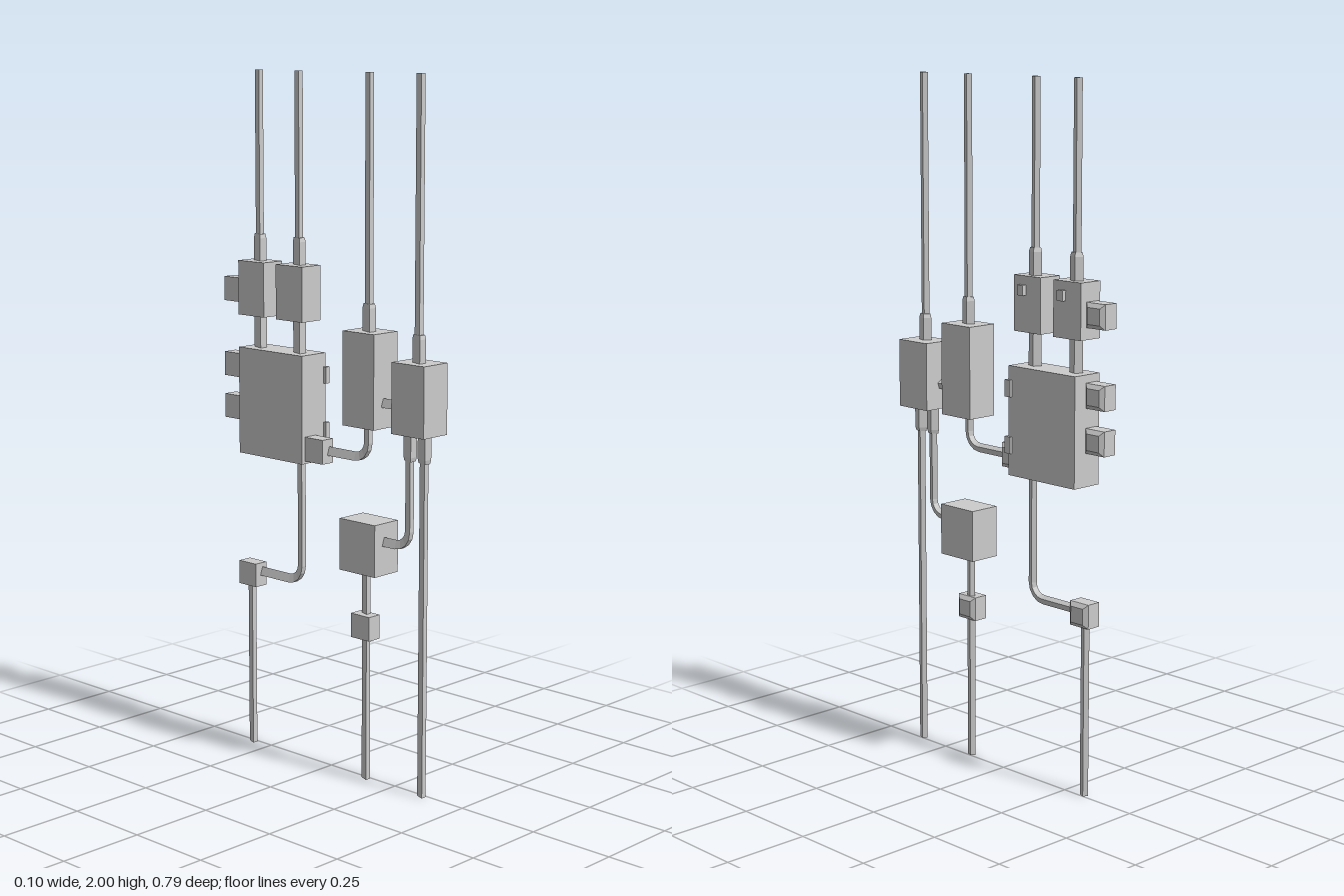
import * as THREE from 'three';

const PIPE = 0.0125, SLEEVE = 0.0195, PIPE_X = -0.012;
// Four-sided conduit section: [x, across]
const SECTION = [[-0.75, 0.9], [-0.05, -1.1], [0.95, -0.4], [0.55, 0.9]];

export function createModel() {
  const model = new THREE.Group();
  const material = new THREE.MeshStandardMaterial({ color: 0xcccccc, flatShading: true });

  function add(name, geometry) {
    const mesh = new THREE.Mesh(geometry, material);
    mesh.name = name;
    model.add(mesh);
    return mesh;
  }

  // Box given by its limits on each axis
  function box(name, [x0, x1], [y0, y1], [z0, z1]) {
    add(name, new THREE.BoxGeometry(x1 - x0, y1 - y0, z1 - z0))
      .position.set((x0 + x1) / 2, (y0 + y1) / 2, (z0 + z1) / 2);
  }

  // Sweep the section along a [y, z] path, with an optional radius per point
  function sweep(name, path, radius) {
    const rings = path.map(([y, z], i) => {
      const a = path[Math.max(i - 1, 0)], b = path[Math.min(i + 1, path.length - 1)];
      const length = Math.hypot(b[0] - a[0], b[1] - a[1]);
      const ty = (b[0] - a[0]) / length, tz = (b[1] - a[1]) / length;
      const r = Array.isArray(radius) ? radius[i] : radius;
      return SECTION.map(([u, v]) => [PIPE_X + u * r, y + tz * v * r, z - ty * v * r]);
    });
    const positions = [];
    const quad = (a, b, c, d) => positions.push(...a, ...b, ...c, ...a, ...c, ...d);
    for (let i = 0; i < rings.length - 1; i++) {
      for (let j = 0; j < 4; j++) {
        const k = (j + 1) % 4;
        quad(rings[i][j], rings[i][k], rings[i + 1][k], rings[i + 1][j]);
      }
    }
    const end = rings[rings.length - 1];
    quad(...[...rings[0]].reverse());
    quad(...end);
    const geometry = new THREE.BufferGeometry();
    geometry.setAttribute('position', new THREE.Float32BufferAttribute(positions, 3));
    geometry.computeVertexNormals();
    add(name, geometry);
  }

  const straight = (name, z, top, bottom, radius = PIPE) =>
    sweep(name, [[top, z], [bottom, z]], radius);

  // Pipe running down, round an elbow, then towards -z
  function bent(name, z, top, low, zEnd) {
    const r = 0.045, path = [[top, z]];
    for (let i = 0; i <= 4; i++) {
      const a = (i / 4) * Math.PI / 2;
      path.push([low + r - r * Math.sin(a), z - r + r * Math.cos(a)]);
    }
    path.push([low, zEnd]);
    sweep(name, path, PIPE);
  }

  // Junction box with a bevelled lid on the +x side
  function junction(name, y, z) {
    const size = 0.07, inset = 0.012;
    let geometry = new THREE.BoxGeometry(0.053, size, size, 2, 1, 1);
    const p = geometry.attributes.position;
    for (let i = 0; i < p.count; i++) {
      if (Math.abs(p.getX(i)) < 0.001) p.setX(i, 0.0165);
      else if (p.getX(i) > 0) {
        p.setY(i, Math.sign(p.getY(i)) * (size / 2 - inset));
        p.setZ(i, Math.sign(p.getZ(i)) * (size / 2 - inset));
      }
    }
    geometry = geometry.toNonIndexed();
    geometry.computeVertexNormals();
    add(name, geometry).position.set(-0.0135, y, z);
  }

  // Enclosures
  const depth = [-0.052, 0.044];
  box('frontBox', depth, [1.03, 1.228], [0.275, 0.393]);
  box('middleBox', depth, [1.03, 1.296], [0.092, 0.21]);
  box('lowerBox', depth, [0.614, 0.763], [0.082, 0.216]);
  box('mainPanel', depth, [0.895, 1.207], [-0.322, -0.066]);

  // Panel hinges
  for (const y of [0.982, 1.143]) box('panelHinge', [0.036, 0.051], [y - 0.024, y + 0.024], [-0.079, -0.056]);

  // Two switch boxes above the panel, each with a button
  for (const z of [-0.117, -0.27]) {
    box('switchBox', [-0.052, 0.023], [1.302, 1.459], [z - 0.052, z + 0.052]);
    box('switchButton', [0.02, 0.036], [1.405, 1.434], [z + 0.005, z + 0.027]);
  }

  // Conduits rising to the top, with a bevelled sleeve at each enclosure
  for (const [z, y] of [[0.337, 1.225], [0.153, 1.293], [-0.117, 1.456], [-0.275, 1.456]]) {
    straight('upperConduit', z, 2, y);
    sweep('upperSleeve', [[y + 0.08, z], [y + 0.068, z], [y, z]], [0.0165, SLEEVE, SLEEVE]);
  }
  for (const z of [-0.117, -0.275]) straight('linkSleeve', z, 1.303, 1.205, SLEEVE);

  // Sleeves below the front box
  for (const z of [0.359, 0.307]) {
    sweep('lowerSleeve', [[1.032, z], [0.965, z], [0.953, z]], [SLEEVE, SLEEVE, 0.0165]);
  }

  // Lower conduits
  straight('frontConduit', 0.359, 0.965, 0);
  straight('middleConduit', 0.146, 0.616, 0);
  straight('backConduit', -0.316, 0.51, 0);
  sweep('crossConduit', [[1.102, 0.28], [1.102, 0.205]], PIPE);
  bent('elbowToLowerBox', 0.307, 0.965, 0.71, 0.21);
  bent('elbowToPanel', 0.152, 1.035, 0.938, -0.02);
  bent('elbowFromPanel', -0.109, 0.9, 0.538, -0.28);

  // Junction boxes
  for (const [y, z] of [[0.938, -0.031], [0.456, 0.15], [0.529, -0.305],
    [1.371, -0.359], [1.15, -0.359], [1.025, -0.359]]) junction('junctionBox', y, z);

  return model;
}
